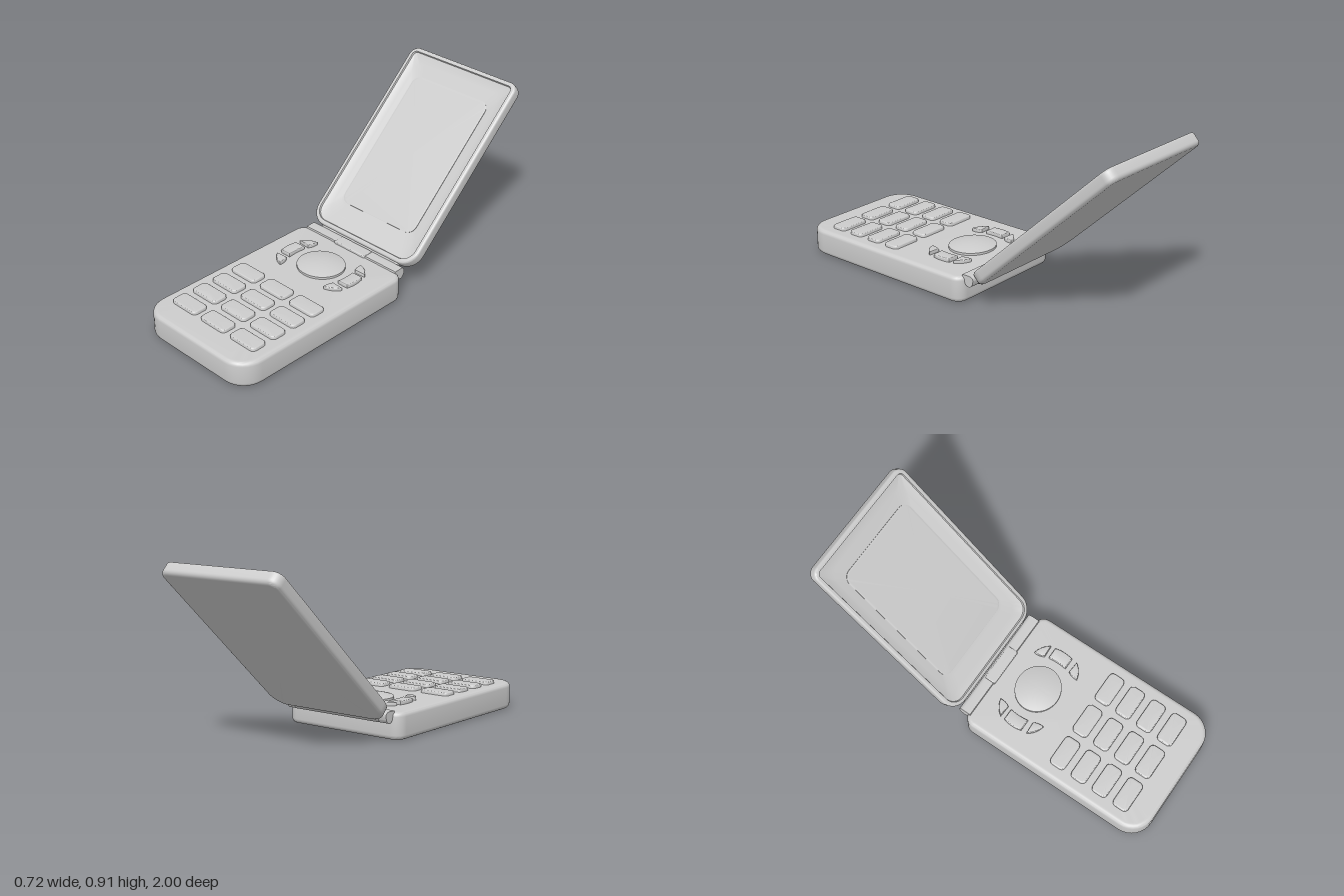
import * as THREE from 'three';
import { toCreasedNormals } from 'three/addons/utils/BufferGeometryUtils.js';

const material = new THREE.MeshStandardMaterial({ color: 0xcccccc });

function add(parent, name, geometry) {
  const mesh = new THREE.Mesh(geometry, material);
  mesh.name = name;
  parent.add(mesh);
  return mesh;
}

// Rounded rectangle in x/z; the back (z0) and front (z1) corners have their own radii
function ring({ x0, x1, z0, z1, rBack, rFront }, [ix, y, iz = ix, radius]) {
  const points = [];
  const steps = 8;
  for (let corner = 0; corner < 4; corner++) {
    const right = corner === 0 || corner === 3;
    const front = corner < 2;
    const r = radius ?? Math.max((front ? rFront : rBack) - ix, 0.004);
    const cx = right ? x1 - ix - r : x0 + ix + r;
    const cz = front ? z1 - iz - r : z0 + iz + r;
    for (let i = 0; i <= steps; i++) {
      const a = (corner + i / steps) * Math.PI / 2;
      points.push([cx + r * Math.cos(a), y, cz + r * Math.sin(a)]);
    }
  }
  return points;
}

// Closed solid from stacked rings; each layer is [inset x, height, inset z, corner radius]
function loft(outline, layers) {
  const rings = layers.map((layer) => ring(outline, layer));
  const n = rings[0].length;
  const last = rings.length - 1;
  const cx = (outline.x0 + outline.x1) / 2;
  const cz = (outline.z0 + outline.z1) / 2;
  const positions = [...rings.flat(), [cx, layers[0][1], cz], [cx, layers[last][1], cz]].flat();
  const index = [];
  for (let k = 0; k < n; k++) {
    const next = (k + 1) % n;
    for (let j = 0; j < last; j++) {
      const a = j * n + k, b = j * n + next;
      index.push(a, a + n, b, b, a + n, b + n);
    }
    index.push(k, next, n * rings.length);
    index.push(last * n + k, n * rings.length + 1, last * n + next);
  }
  const geometry = new THREE.BufferGeometry();
  geometry.setAttribute('position', new THREE.Float32BufferAttribute(positions, 3));
  geometry.setIndex(index);
  return toCreasedNormals(geometry, 0.6);
}

// Quarter-round edges: lower edge turning outwards, upper edge turning inwards
function lowerEdge(r, y) {
  const layers = [[r + 0.006, y]];
  for (let i = 0; i <= 5; i++) {
    const a = i / 5 * Math.PI / 2;
    layers.push([r * (1 - Math.sin(a)), y + r * (1 - Math.cos(a))]);
  }
  return layers;
}
const upperEdge = (r, y) => lowerEdge(r, 0).reverse().map(([inset, h]) => [inset, y - h]);

// Shape drawn in x/z, given thickness below the height y
function slab(shape, y, depth, bevel) {
  const geometry = new THREE.ExtrudeGeometry(shape, {
    depth, bevelThickness: bevel, bevelSize: bevel, bevelOffset: -bevel, bevelSegments: 3, curveSegments: 10,
  });
  geometry.rotateX(Math.PI / 2).translate(0, y - bevel, 0);
  return toCreasedNormals(geometry, 0.6);
}

function buildKeypad() {
  const keypad = new THREE.Group();
  keypad.name = 'keypad';

  // Number keys
  for (let row = 0; row < 4; row++) {
    for (let column = -1; column <= 1; column++) {
      const x = column * 0.21, z = 0.44 + row * 0.129;
      const outline = { x0: x - 0.087, x1: x + 0.087, z0: z - 0.045, z1: z + 0.045, rBack: 0.024, rFront: 0.024 };
      add(keypad, 'numberKey', loft(outline, [[0, 0.13], ...upperEdge(0.007, 0.157)]));
    }
  }

  // Domed navigation key
  const profile = [new THREE.Vector2(0.13, 0.13), new THREE.Vector2(0.13, 0.152)];
  for (let i = 1; i <= 8; i++) {
    const t = i / 8;
    profile.push(new THREE.Vector2(0.13 * (1 - t), 0.152 + 0.018 * (1 - (1 - t) ** 2)));
  }
  const dome = toCreasedNormals(new THREE.LatheGeometry(profile, 48), 0.6);
  dome.scale(1, 1, 0.93).translate(0, 0, 0.128);
  add(keypad, 'navigationKey', dome);

  // Curved function keys on both sides of the navigation key
  for (const s of [-1, 1]) {
    const middle = new THREE.Shape();
    middle.moveTo(s * 0.175, 0.077);
    middle.lineTo(s * 0.238, 0.077);
    middle.quadraticCurveTo(s * 0.252, 0.13, s * 0.238, 0.183);
    middle.lineTo(s * 0.175, 0.183);
    middle.quadraticCurveTo(s * 0.183, 0.13, s * 0.175, 0.077);
    add(keypad, 'sideKey', slab(middle, 0.159, 0.02, 0.005));

    for (const f of [-1, 1]) {
      const z = (d) => 0.133 + f * d;
      const tip = new THREE.Shape();
      tip.moveTo(s * 0.157, z(0.135));
      tip.quadraticCurveTo(s * 0.208, z(0.125), s * 0.234, z(0.082));
      tip.lineTo(s * 0.17, z(0.078));
      tip.quadraticCurveTo(s * 0.154, z(0.1), s * 0.157, z(0.135));
      add(keypad, 'cornerKey', slab(tip, 0.158, 0.02, 0.004));
    }
  }
  return keypad;
}

function buildHinge() {
  const hinge = new THREE.Group();
  hinge.name = 'hinge';

  // Long barrel, its section drawn in z/y and extended along x
  const section = new THREE.Shape();
  section.moveTo(0.08, 0.125);
  section.lineTo(0.085, 0.149);
  section.lineTo(0.13, 0.15);
  section.quadraticCurveTo(0.155, 0.148, 0.153, 0.128);
  section.quadraticCurveTo(0.15, 0.092, 0.125, 0.09);
  section.quadraticCurveTo(0.105, 0.092, 0.1, 0.11);
  const barrel = new THREE.ExtrudeGeometry(section, { depth: 0.64, bevelEnabled: false, curveSegments: 8 });
  barrel.rotateY(Math.PI / 2).translate(-0.32, 0, 0);
  add(hinge, 'hingeBarrel', toCreasedNormals(barrel, 0.6));

  // Knuckle in the middle
  const outline = { x0: -0.108, x1: 0.108, z0: -0.14, z1: -0.076, rBack: 0.008, rFront: 0.008 };
  add(hinge, 'hingeKnuckle', loft(outline, [[0, 0.12], ...upperEdge(0.005, 0.154)]));
  return hinge;
}

function buildLid() {
  const lid = new THREE.Group();
  lid.name = 'lid';
  const outline = { x0: -0.362, x1: 0.362, z0: -1.325, z1: -0.215, rBack: 0.05, rFront: 0.095 };

  // Shell with rounded back, narrow rim and shallow dished front
  add(lid, 'lidShell', loft(outline, [
    ...lowerEdge(0.022, -0.05),
    ...upperEdge(0.012, 0.019),
    [0.024, 0.019],
    [0.027, 0.01],
    [0.032, 0.008],
    [0.07, 0.004, 0.08, 0.06],
    [0.1, -0.003, 0.14, 0.055],
    [0.108, -0.004, 0.155, 0.05],
  ]));

  // Screen set in the dish
  const screen = { x0: -0.255, x1: 0.255, z0: -1.178, z1: -0.377, rBack: 0.05, rFront: 0.05 };
  add(lid, 'screen', loft(screen, [[0, -0.012], [0, -0.001], [0.004, 0], [0.01, 0]]));

  // Neck joining the lid to the hinge
  const neck = { x0: -0.27, x1: 0.27, z0: -0.25, z1: -0.165, rBack: 0.01, rFront: 0.01 };
  add(lid, 'lidNeck', loft(neck, [...lowerEdge(0.008, -0.03), ...upperEdge(0.008, 0.005)]));

  lid.rotation.x = 0.747;
  return lid;
}

export function createModel() {
  const phone = new THREE.Group();
  phone.name = 'flipPhone';

  // Lower body
  const outline = { x0: -0.362, x1: 0.362, z0: -0.102, z1: 1, rBack: 0.06, rFront: 0.125 };
  add(phone, 'body', loft(outline, [...lowerEdge(0.025, 0), ...upperEdge(0.022, 0.14)]));

  phone.add(buildKeypad(), buildHinge(), buildLid());
  return phone;
}
